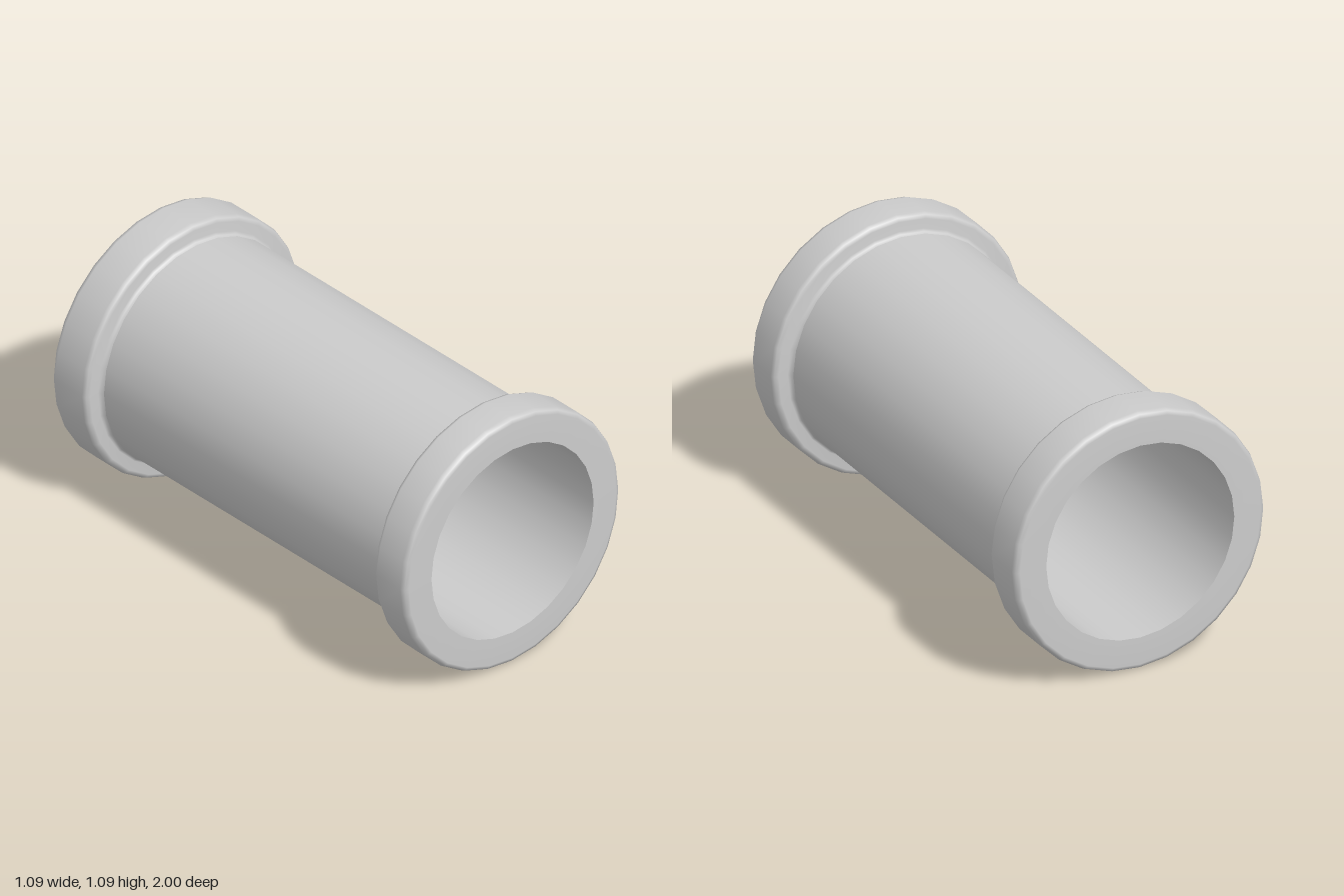
import * as THREE from 'three';

const SIDES = 28;
const OUTER = 0.5425, TUBE = 0.467, BORE = 0.407;

export function createModel() {
  const model = new THREE.Group();
  const material = new THREE.MeshStandardMaterial({ color: 0xcccccc });

  // Revolves [radius, z] points around the pipe axis; rising z faces outward
  function revolve(name, points) {
    const geometry = new THREE.LatheGeometry(points.map(([r, z]) => new THREE.Vector2(r, z)), SIDES);
    geometry.rotateX(Math.PI / 2);
    const mesh = new THREE.Mesh(geometry, material);
    mesh.name = name;
    mesh.position.y = OUTER;
    model.add(mesh);
  }

  // Collar with rounded rims and a small fillet down to the tube, from inner to outer end
  const collar = (inner) => [
    [TUBE, inner - 0.018], [TUBE + 0.004, inner - 0.007], [TUBE + 0.014, inner],
    [OUTER - 0.022, inner], [OUTER - 0.007, inner + 0.006], [OUTER, inner + 0.022],
    [OUTER, 0.975], [OUTER - 0.007, 0.994], [OUTER - 0.022, 1], [BORE, 1],
  ];
  const front = 0.825, back = 0.805;
  revolve('frontCollar', collar(front));
  revolve('backCollar', collar(back).map(([r, z]) => [r, -z]).reverse());

  // Straight outer wall and the open bore
  revolve('tube', [[TUBE, -back + 0.018], [TUBE, front - 0.018]]);
  revolve('bore', [[BORE, 1], [BORE, -1]]);

  return model;
}
